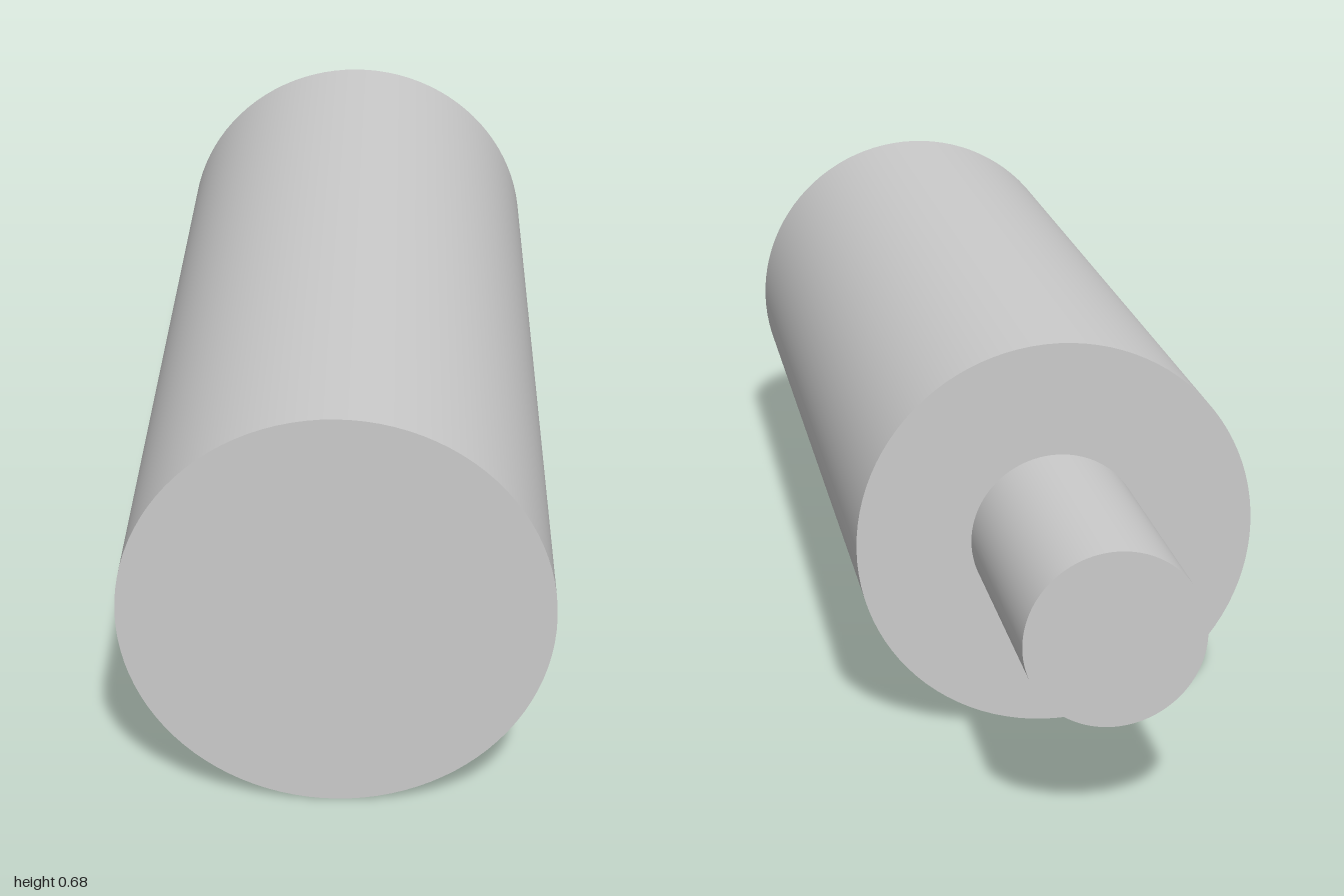
import * as THREE from 'three';

const AXIS_HEIGHT = 0.341;
const material = new THREE.MeshStandardMaterial({ color: 0xcccccc });

// Solid round bar along z, from zBack to zFront
function roundBar(name, radius, zBack, zFront) {
  const geometry = new THREE.CylinderGeometry(radius, radius, zFront - zBack, 96);
  geometry.rotateX(Math.PI / 2);
  const mesh = new THREE.Mesh(geometry, material);
  mesh.name = name;
  mesh.position.set(0, AXIS_HEIGHT, (zBack + zFront) / 2);
  return mesh;
}

export function createModel() {
  const model = new THREE.Group();
  model.name = 'steppedPin';
  model.add(
    roundBar('body', 0.341, -0.56, 1), // wide cylinder at the front
    roundBar('shaft', 0.146, -1, -0.56) // narrow stub at the back
  );
  return model;
}
